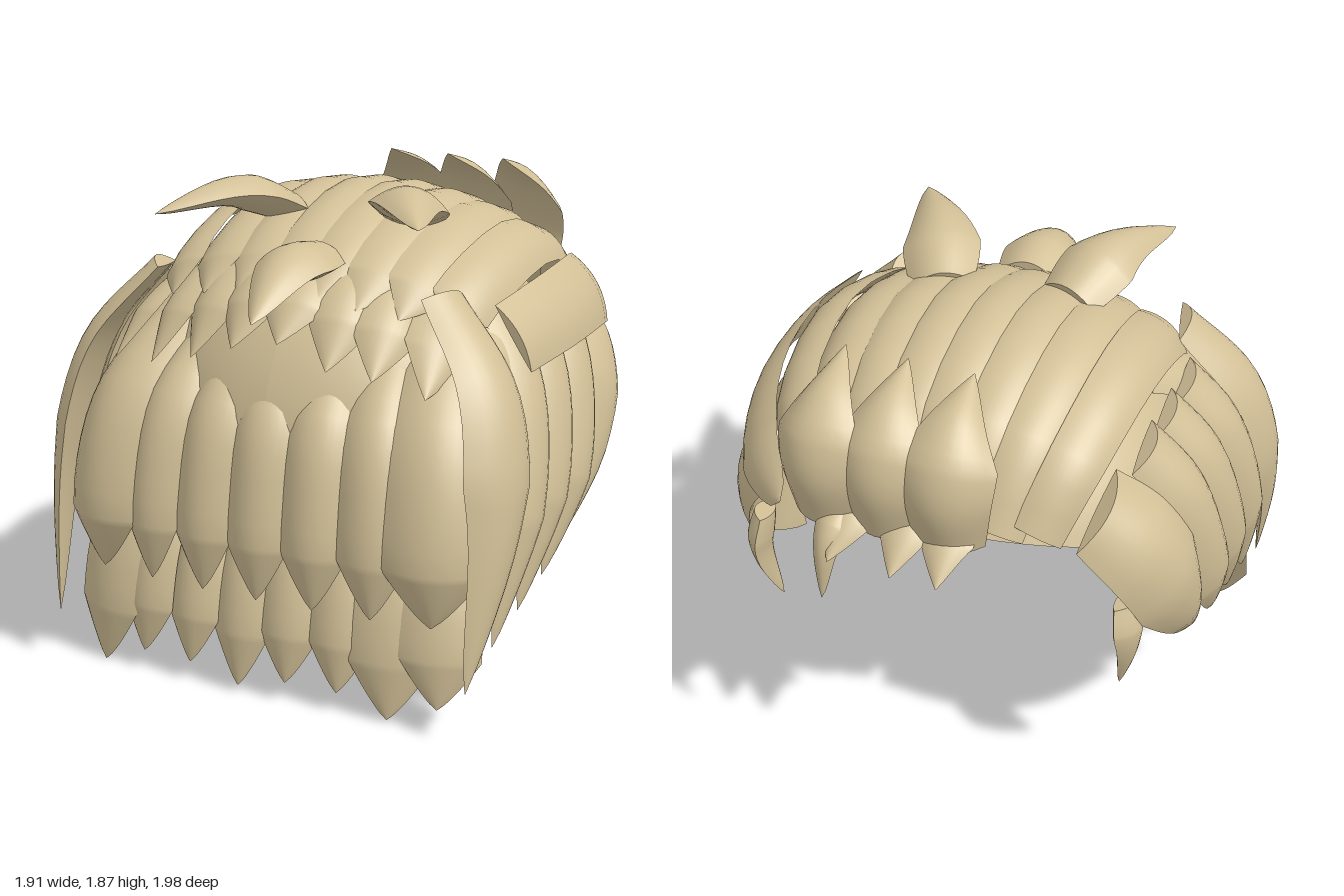
import * as THREE from 'three';

const V = (x, y, z) => new THREE.Vector3(x, y, z);

export function createModel() {
  const model = new THREE.Group();
  const hair = new THREE.MeshStandardMaterial({ color: 0xd2c097, side: THREE.DoubleSide });
  hair.name = 'sandyHair';

  // Scalp: ellipsoid shell whose rim is low in front and high behind
  const scalpGeo = new THREE.SphereGeometry(1, 48, 24, 0, Math.PI * 2, 0, 3);
  const pos = scalpGeo.attributes.position, uv = scalpGeo.attributes.uv;
  for (let i = 0; i < pos.count; i++) {
    const az = uv.getX(i) * Math.PI * 2;
    const polar = (1 - uv.getY(i)) * THREE.MathUtils.degToRad(85 + 20 * Math.cos(az));
    pos.setXYZ(i, 0.82 * Math.sin(polar) * Math.sin(az), 0.9 + 0.8 * Math.cos(polar),
      0.8 * Math.sin(polar) * Math.cos(az));
  }
  scalpGeo.computeVertexNormals();
  const scalp = new THREE.Mesh(scalpGeo, hair);
  scalp.name = 'scalp';
  model.add(scalp);

  // Appends a grid of rows as triangles, facing along (column x row)
  function addGrid(rows, verts, index, flip) {
    const base = verts.length / 3, n = rows[0].length;
    rows.forEach((r) => r.forEach((p) => verts.push(p.x, p.y, p.z)));
    for (let i = 0; i < rows.length - 1; i++) for (let j = 0; j < n - 1; j++) {
      const a = base + i * n + j, b = a + 1, c = a + n, d = c + 1;
      if (flip) index.push(a, c, b, b, c, d);
      else index.push(a, b, c, b, d, c);
    }
  }

  // Lock: lens section swept along a path, domed away from "centre", pointed at the end
  function lock(name, points, centre,
    { w = 0.13, bulge = 0.07, belly = 0.1, root = 0.8, tip = 0.15, power = 0.9 } = {}) {
    const curve = new THREE.CatmullRomCurve3(points);
    const ts = [];
    for (let i = 0; i < 10; i++) ts.push((1 - tip) * i / 10);
    for (let i = 0; i <= 8; i++) ts.push(1 - tip + tip * i / 8);
    const outer = [], inner = [];
    for (const t of ts) {
      const p = curve.getPoint(t), T = curve.getTangent(t);
      const N = p.clone().sub(centre);
      N.addScaledVector(T, -N.dot(T)).normalize();
      const B = T.clone().cross(N);
      const s = t < 1 - tip
        ? root + (1 - root) * Math.sin(t / (1 - tip) * Math.PI / 2)
        : Math.max(0.01, Math.pow((1 - t) / tip, power));
      const ro = [], ri = [];
      for (let j = 0; j <= 10; j++) {
        const u = j / 5 - 1, dome = bulge * s * (1 - u * u);
        const q = p.clone().addScaledVector(B, u * w * s);
        ro.push(q.clone().addScaledVector(N, dome));
        ri.push(q.addScaledVector(N, -dome * belly));
      }
      outer.push(ro); inner.push(ri);
    }
    const verts = [], index = [];
    addGrid(outer, verts, index, false);
    addGrid(inner, verts, index, true);
    addGrid([inner[0], outer[0]], verts, index, false);
    const g = new THREE.BufferGeometry();
    g.setAttribute('position', new THREE.Float32BufferAttribute(verts, 3));
    g.setIndex(index);
    g.computeVertexNormals();
    const mesh = new THREE.Mesh(g, hair);
    mesh.name = name;
    model.add(mesh);
  }

  // Lower front row, rooted inside the scalp
  const frontCentre = V(0, 0.5, -1.2);
  const lower = [[-0.71, 0, 0.17], [-0.52, 0.08, 0.13], [-0.31, 0.08, 0.12], [-0.1, 0.03, 0.12],
    [0.1, 0.08, 0.12], [0.31, 0.08, 0.12], [0.51, 0.01, 0.16], [0.7, 0.08, 0.15]];
  for (const [x, y, w] of lower) {
    const d = 0.08 * x * x;
    lock('lowerFrontLock', [V(x * 0.92, 0.82, 0.53 - d), V(x * 0.98, 0.48, 0.74 - d), V(x, y, 0.83 - d)],
      frontCentre, { w, bulge: 0.05, tip: 0.22, power: 0.8 });
  }

  // Upper front row, widest at the ends
  for (let i = -3; i <= 3; i++) {
    const x = i * 0.228, end = Math.abs(i) === 3, d = 0.1 * x * x;
    const top = 1.25 + 0.1 * Math.abs(i) / 3;
    lock('upperFrontLock', [V(x * 0.82, top, 0.5 - 2.5 * d), V(x * 0.94, 1.07, 0.75 - 1.5 * d),
      V(x, 0.75, 0.835 - d), V(x, 0.4, 0.86 - d)],
      frontCentre, { w: end ? 0.19 : 0.13, bulge: end ? 0.08 : 0.06, root: 0.75, tip: 0.2, power: 0.8 });
  }

  for (const s of [-1, 1]) {
    // Long lock at each front corner
    lock('cornerLock', [V(s * 0.57, 1.52, 0.5), V(s * 0.8, 1.22, 0.6), V(s * 0.88, 0.8, 0.71), V(s * 0.85, 0.21, 0.88)],
      V(0, 0.7, 0.45), { w: 0.18, bulge: 0.08, root: 0.65, tip: 0.42, power: 0.75 });
    // Slanted side locks
    for (let i = 0; i < 3; i++) {
      const z = -0.225 * i, y = 0.06 * i;
      lock('sideLock', [V(s * 0.66, 1.42, 0.24 + z), V(s * 0.8, 1.2, 0.32 + z), V(s * 0.87, 0.85, 0.44 + z),
        V(s * 0.85, 0.3 + y, 0.65 + z)], V(0, 0.7, 0.45 + z), { w: 0.16, bulge: 0.08, tip: 0.27, power: 0.75 });
    }
    lock('rearSideLock', [V(s * 0.6, 1.33, -0.52), V(s * 0.76, 1.14, -0.43), V(s * 0.85, 0.82, -0.25), V(s * 0.84, 0.49, 0)],
      V(0, 0.8, -0.15), { w: 0.22, bulge: 0.1, tip: 0.5, power: 0.8 });
    // Sideburns
    lock('sideburn', [V(s * 0.72, 0.97, -0.53), V(s * 0.74, 0.8, -0.54), V(s * 0.7, 0.53, -0.48)],
      V(0, 0.8, -0.45), { w: 0.1, bulge: 0.06, belly: 0.6, tip: 0.65, power: 0.75 });
  }

  // Fringe of short points below the crown
  const crownCentre = V(0, 0.8, 0);
  const fringe = [[-0.7, 1.18], [-0.51, 1.2], [-0.32, 1.25], [-0.14, 1.31], [0.05, 1.35],
    [0.24, 1.27], [0.41, 1.25], [0.6, 1.2], [0.78, 1.16]];
  for (const [x, y] of fringe) {
    const q = x * x;
    lock('fringeLock', [V(x * 0.75, 1.66 - 0.35 * q, 0.15), V(x * 0.9, 1.53 - 0.3 * q, 0.52 - 0.3 * q),
      V(x, y, 0.77 - 0.2 * q)], crownCentre, { w: 0.125, bulge: 0.05, tip: 0.28 });
  }

  // Long crown strips running from the back over the top
  for (const x of [-0.54, -0.37, -0.2, -0.03, 0.13, 0.3, 0.46, 0.62]) {
    const q = x * x;
    lock('crownStrip', [V(x * 0.8, 1.27, -0.74 + 0.25 * q), V(x * 0.95, 1.61 - 0.35 * q, -0.54 + 0.1 * q),
      V(x * 1.03, 1.765 - 0.4 * q, -0.1), V(x, 1.68 - 0.4 * q, 0.32), V(x * 0.95, 1.48 - 0.2 * q, 0.64 - 0.3 * q)],
      crownCentre, { w: 0.12, bulge: 0.035, tip: 0.13 });
  }

  // Wide band swept back along the left side
  lock('sideBand', [V(0.81, 1.38, 0.42), V(0.84, 1.41, 0.1), V(0.8, 1.4, -0.3), V(0.69, 1.33, -0.6), V(0.5, 1.27, -0.82)],
    V(0, 0.9, 0), { w: 0.15, bulge: 0.035, root: 0.9, tip: 0.25, power: 0.45 });

  // Upswept quiff at the back
  for (const x of [-0.15, 0.34, 0.1]) {
    lock('quiffLock', [V(x, 1.27, -0.8), V(x, 1.5, -0.83), V(x, 1.69, -0.74), V(x, 1.82, -0.55)],
      V(x * 0.6, 1.45, -0.3), { w: 0.18, bulge: 0.09, root: 0.75, tip: 0.5 });
  }

  // Small flicks along the back hairline
  for (const x of [-0.16, 0.0, 0.22]) {
    lock('hairlineFlick', [V(x, 1.34, -0.68), V(x, 1.29, -0.84), V(x * 1.1, 1.19, -0.98)],
      V(x, 0.9, -0.5), { w: 0.1, bulge: 0.04, tip: 0.5 });
  }
  lock('hairlineFang', [V(0.25, 1.32, -0.82), V(0.27, 1.22, -0.92), V(0.28, 1.0, -0.96)],
    V(0.2, 0.9, -0.3), { w: 0.07, bulge: 0.04, tip: 0.7, power: 0.7 });

  // Three loose tufts on the top and front
  const tuft = { w: 0.15, bulge: 0.08, belly: 0.7, root: 0.8, tip: 0.65, power: 0.75 };
  lock('rightTuft', [V(-0.22, 1.71, 0.2), V(-0.31, 1.8, 0.45), V(-0.45, 1.77, 0.76)], V(-0.15, 0.8, 0.35), tuft);
  lock('leftTuft', [V(0.26, 1.71, 0.12), V(0.37, 1.8, 0.36), V(0.55, 1.79, 0.66)], V(0.2, 0.8, 0.3), tuft);
  lock('centreTuft', [V(0.05, 1.6, 0.46), V(0.06, 1.6, 0.72), V(0.08, 1.48, 1.0)], V(0.05, 0.8, 0.5), tuft);

  return model;
}
